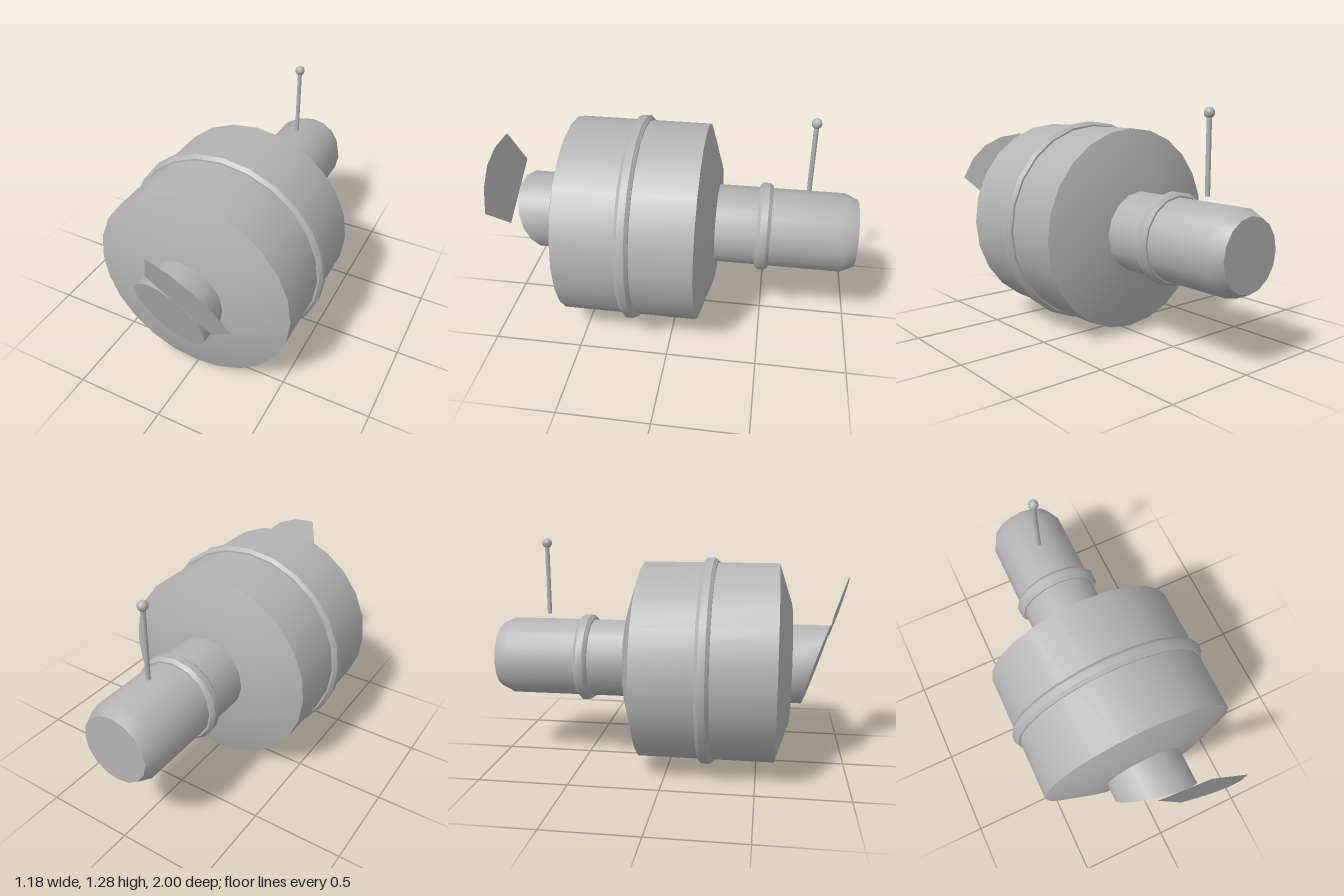
import * as THREE from 'three';
import { toCreasedNormals } from 'three/addons/utils/BufferGeometryUtils.js';

const AXIS_Y = 0.593;
const TILT = THREE.MathUtils.degToRad(32);
const grey = new THREE.MeshStandardMaterial({ color: 0xb4b4b4, side: THREE.DoubleSide });
grey.name = 'grey metal';

// Slanted plane shared by the front tube's cut end and the lip
const slantZ = (x, y) => 0.82 + 0.364 * (Math.sin(TILT) * x + Math.cos(TILT) * y);

// Turned part around the z axis; profile is [radius, z] with z ascending
function turned(profile, sides) {
  const points = profile.map(([r, z]) => new THREE.Vector2(r, z));
  return new THREE.LatheGeometry(points, sides).rotateX(Math.PI / 2);
}

export function createModel() {
  const model = new THREE.Group();
  const add = (name, geometry, y = AXIS_Y, z = 0) => {
    const mesh = new THREE.Mesh(geometry, grey);
    mesh.name = name;
    mesh.position.set(0, y, z);
    model.add(mesh);
  };
  const crease = (geometry) => toCreasedNormals(geometry, 0.6);

  // Drum with conical shoulders
  add('drum', crease(turned([
    [0, -0.226], [0.335, -0.226], [0.564, -0.15], [0.564, 0.6], [0.335, 0.675], [0, 0.675],
  ], 24)));

  // Bevelled bands round the drum and the rear tube
  const band = (inner, outer, z, sides) => crease(turned([
    [inner, z - 0.038], [outer - 0.017, z - 0.038], [outer, z - 0.019],
    [outer, z + 0.019], [outer - 0.017, z + 0.038], [inner, z + 0.038],
  ], sides));
  add('drumBand', band(0.53, 0.591, 0.223, 24));
  add('tubeBand', band(0.19, 0.251, -0.49, 16));

  // Rear tube with a bevelled end
  add('rearTube', crease(turned([
    [0, -1], [0.19, -1], [0.224, -0.925], [0.224, -0.2],
  ], 16)));

  // Front tube cut off along the slanted plane
  const front = turned([[0.224, 0.65], [0.224, 1], [0, 1]], 16);
  const pos = front.attributes.position;
  for (let i = 0; i < pos.count; i++) {
    if (pos.getZ(i) > 0.9) pos.setZ(i, slantZ(pos.getX(i), pos.getY(i)));
  }
  add('frontTube', crease(front));

  // Lip continuing the slanted plane beyond the tube's rim
  const outline = [
    [-0.207, 0.222], [0.207, 0.222], [0.251, 0.42], [0.125, 0.475],
    [0, 0.494], [-0.125, 0.475], [-0.251, 0.42],
  ].map(([u, n]) => new THREE.Vector2(u, n));
  const lip = new THREE.ShapeGeometry(new THREE.Shape(outline)).rotateZ(-TILT);
  const lipPos = lip.attributes.position;
  for (let i = 0; i < lipPos.count; i++) {
    lipPos.setZ(i, slantZ(lipPos.getX(i), lipPos.getY(i)));
  }
  lip.computeVertexNormals();
  add('lip', lip);

  // Pin and ball above the rear tube
  add('pin', new THREE.CylinderGeometry(0.013, 0.013, 0.4, 8), 1.045, -0.72);
  add('pinBall', new THREE.SphereGeometry(0.028, 10, 8), 1.253, -0.72);

  return model;
}
